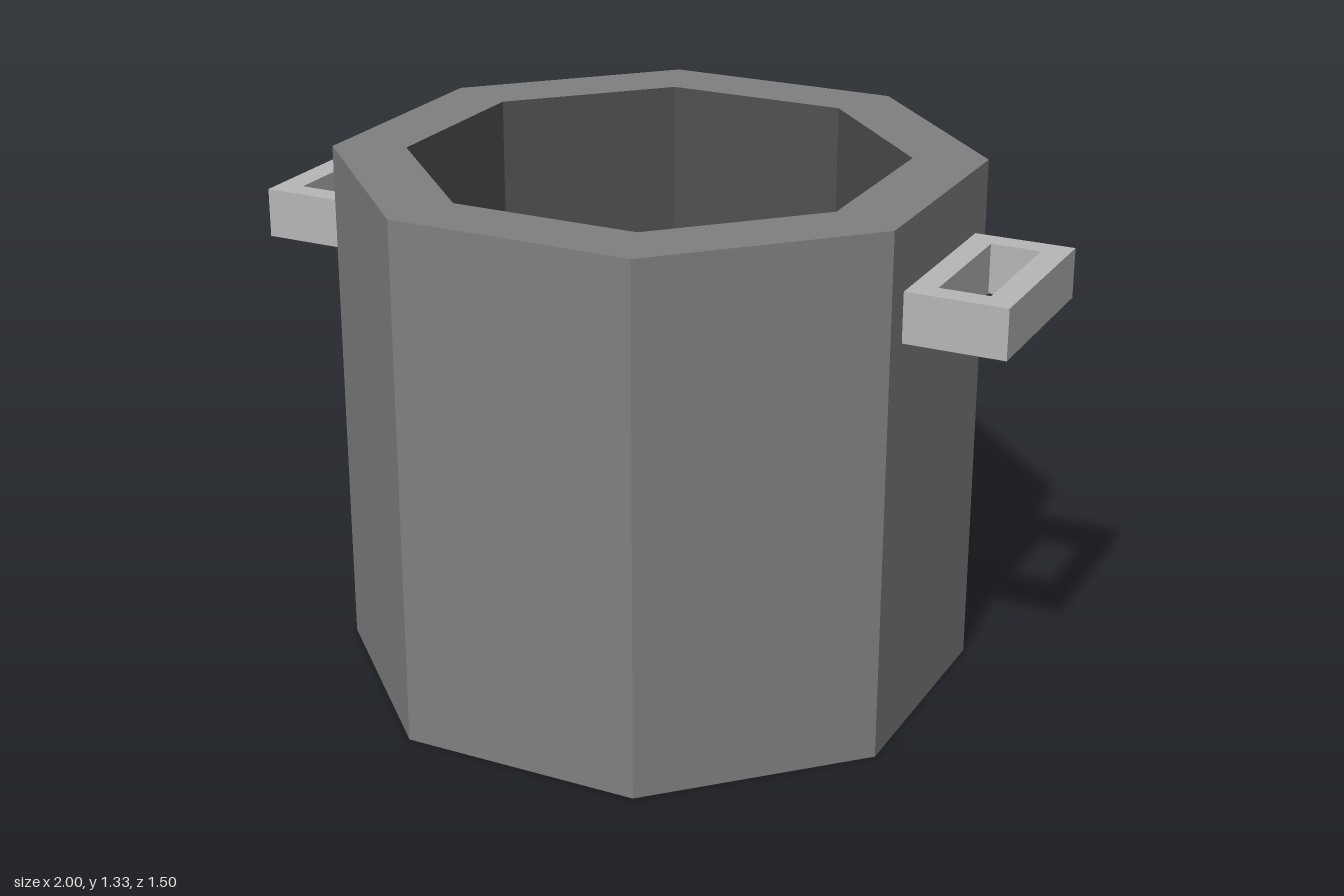
import * as THREE from 'three';

const mat = (name, color) => {
  const m = new THREE.MeshStandardMaterial({ color, flatShading: true });
  m.name = name;
  return m;
};

// Counter-clockwise rectangle outline
const rect = (Type, x0, x1, v) => new Type([
  new THREE.Vector2(x0, -v), new THREE.Vector2(x1, -v),
  new THREE.Vector2(x1, v), new THREE.Vector2(x0, v),
]);

export function createModel() {
  const body = mat('potGrey', 0x808080);
  const dark = mat('interiorGrey', 0x505050);
  const light = mat('handleGrey', 0xb7b7b7);

  const R = 0.8, r = 0.617, H = 1.33, floor = 0.15;
  const group = new THREE.Group();
  group.name = 'pot';

  // The whole pot is turned slightly about its axis
  const turned = new THREE.Group();
  turned.name = 'turnedPot';
  turned.rotation.y = THREE.MathUtils.degToRad(2.6);
  group.add(turned);

  const add = (name, geometry, material) => {
    const mesh = new THREE.Mesh(geometry, material);
    mesh.name = name;
    turned.add(mesh);
    return mesh;
  };

  // Eight-sided shells turned from a profile
  const octagon = (points) => new THREE.LatheGeometry(
    points.map(([x, y]) => new THREE.Vector2(x, y)), 8, Math.PI / 8);

  // Outer wall with base and rim, then the darker cavity
  add('potBody', octagon([[0, 0], [R, 0], [R, H], [r, H]]), body);
  add('potInterior', octagon([[r, H], [r, floor], [0, floor]]), dark);

  // Rectangular loop handles on two opposite sides
  const loop = rect(THREE.Shape, 0.73, 0.99, 0.235);
  loop.holes.push(rect(THREE.Path, 0.8, 0.925, 0.175));
  const handle = new THREE.ExtrudeGeometry(loop, { depth: 0.125, bevelEnabled: false });
  handle.rotateX(-Math.PI / 2);
  handle.translate(0, 1.04, 0);
  add('leftHandle', handle, light);
  add('rightHandle', handle, light).rotation.y = Math.PI;

  return group;
}
